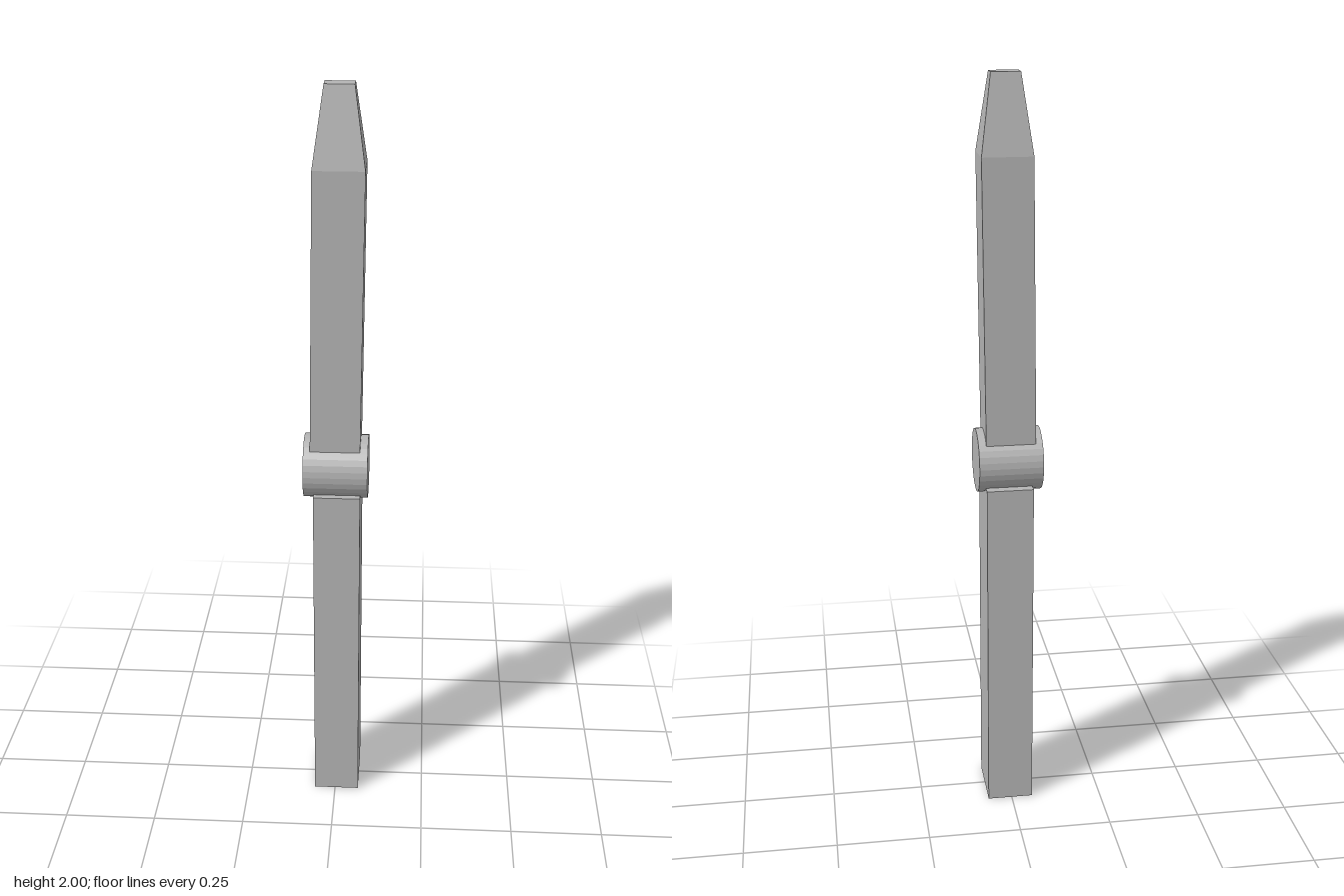
import * as THREE from 'three';

// Box with one rectangular cross-section per level: [y, x0, x1, z0, z1], bottom to top
function loftedBox(sections) {
  const n = sections.length - 1;
  const geo = new THREE.BoxGeometry(1, 1, 1, 1, n, 1);
  const p = geo.attributes.position;
  for (let i = 0; i < p.count; i++) {
    const [y, x0, x1, z0, z1] = sections[Math.round((p.getY(i) + 0.5) * n)];
    p.setXYZ(i, p.getX(i) < 0 ? x0 : x1, y, p.getZ(i) < 0 ? z0 : z1);
  }
  geo.computeVertexNormals();
  return geo;
}

export function createModel() {
  const group = new THREE.Group();
  const grey = new THREE.MeshStandardMaterial({ color: 0xb4b4b4, flatShading: true });
  grey.name = 'grey';

  const add = (name, geo) => {
    const mesh = new THREE.Mesh(geo, grey);
    mesh.name = name;
    group.add(mesh);
    return mesh;
  };

  // Straight lower bar
  add('lowerBar', loftedBox([
    [0, -0.058, 0.066, -0.087, 0.08],
    [0.935, -0.058, 0.066, -0.087, 0.08],
  ]));

  // Hinge barrel lying along x
  const hinge = add('hingeBarrel', new THREE.CylinderGeometry(0.085, 0.085, 0.17, 32));
  hinge.rotation.z = Math.PI / 2;
  hinge.position.y = 0.995;

  // Slightly leaning upper bar with a tapered, blunt tip
  add('upperBar', loftedBox([
    [1.0, -0.068, 0.064, -0.062, 0.057],
    [1.8, -0.058, 0.073, -0.062, 0.057],
    [2.0, -0.03, 0.045, -0.026, 0.019],
  ]));

  return group;
}
